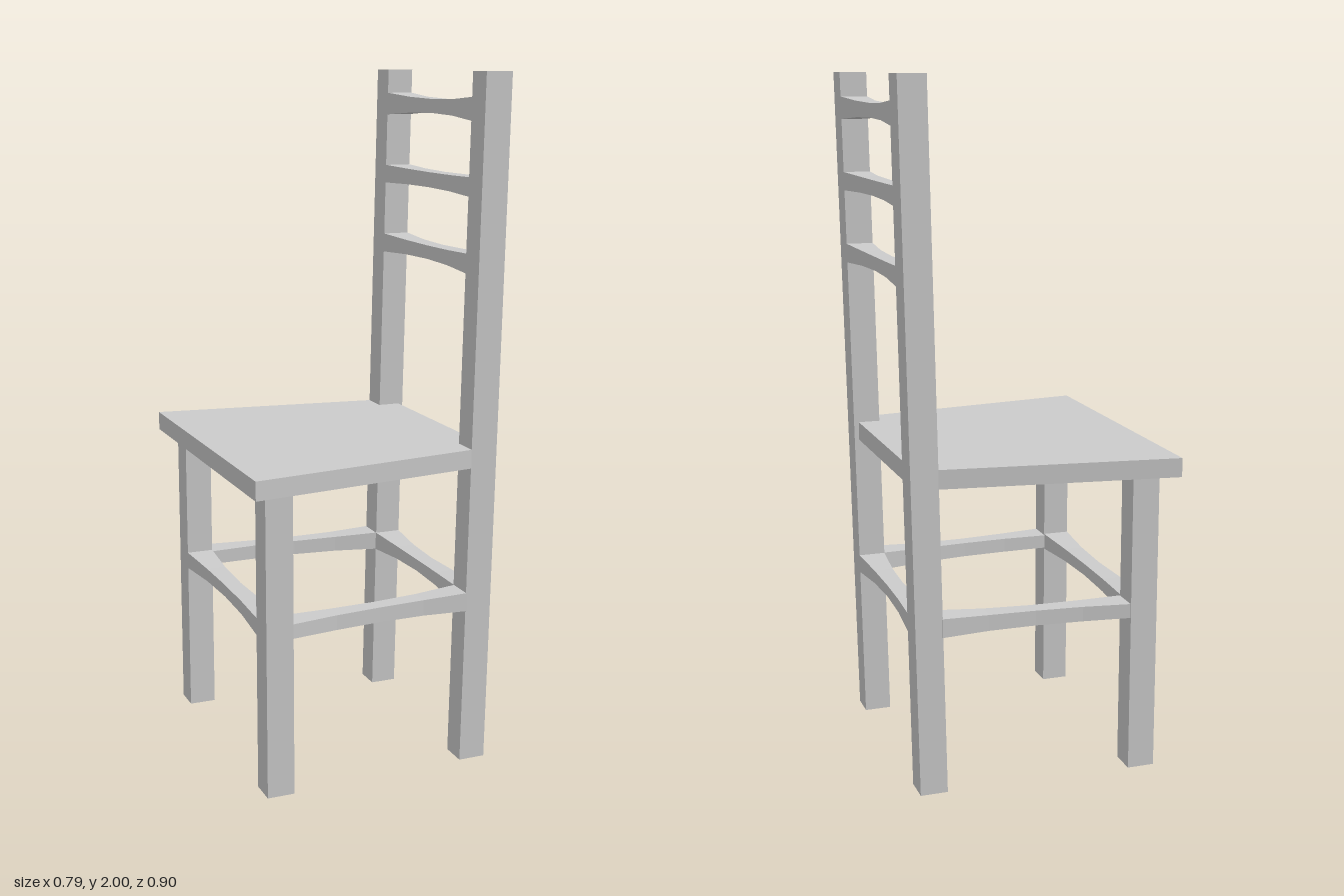
import * as THREE from 'three';

const material = new THREE.MeshStandardMaterial({ color: 0xcccccc, flatShading: true, side: THREE.DoubleSide });
const LEAN = 0.021; // backward lean of the back posts per unit of height
const postX = (y) => 0.31 + LEAN * y; // post centre line

// Move every vertex of a geometry by a rule
function deform(geometry, rule) {
  const p = geometry.attributes.position;
  const v = new THREE.Vector3();
  for (let i = 0; i < p.count; i++) {
    v.fromBufferAttribute(p, i);
    rule(v);
    p.setXYZ(i, v.x, v.y, v.z);
  }
  geometry.computeVertexNormals();
  return geometry;
}

function add(group, name, geometry) {
  const mesh = new THREE.Mesh(geometry, material);
  mesh.name = name;
  group.add(mesh);
}

// Square leg with an open foot; lean shears it along x
function leg(x, z, y0, y1, lean) {
  const g = new THREE.BoxGeometry(0.08, y1 - y0, 0.08);
  const index = Array.from(g.index.array);
  index.splice(18, 6); // remove the bottom face
  g.setIndex(index);
  return deform(g, (v) => {
    v.y += (y0 + y1) / 2;
    v.x += x + lean * v.y;
    v.z += z;
  });
}

// Bar between two points at height y, slimmer in the middle than at the ends.
// heights: [start, middle, end]
function bar(a, b, y, heights, lean = 0) {
  const alongX = Math.abs(b[0] - a[0]) > Math.abs(b[1] - a[1]);
  const g = new THREE.BoxGeometry(1, 1, 1, 1, 1, 4);
  if (alongX) g.rotateY(Math.PI / 2);
  return deform(g, (v) => {
    const t = (alongX ? v.x : v.z) + 0.5;
    const bulge = 1 - (2 * t - 1) ** 2;
    const end = t < 0.5 ? heights[0] : heights[2];
    const height = THREE.MathUtils.lerp(end, heights[1], bulge);
    const width = THREE.MathUtils.lerp(0.08, 0.05, bulge);
    const dy = v.y * height;
    const side = (alongX ? v.z : v.x) * width;
    const cx = THREE.MathUtils.lerp(a[0], b[0], t);
    const cz = THREE.MathUtils.lerp(a[1], b[1], t);
    v.set(cx + (alongX ? 0 : side) + lean * dy, y + dy, cz + (alongX ? side : 0));
  });
}

export function createModel() {
  const chair = new THREE.Group();
  chair.name = 'chair';

  // Tapered seat board, with a tongue running back between the posts
  const outline = [
    [-0.395, -0.45], [0.29, -0.36], [0.29, -0.28], [0.355, -0.28],
    [0.355, 0.28], [0.29, 0.28], [0.29, 0.36], [-0.395, 0.45],
  ].map(([x, z]) => new THREE.Vector2(x, -z));
  const seat = new THREE.ExtrudeGeometry(new THREE.Shape(outline), { depth: 0.055, bevelEnabled: false });
  seat.rotateX(-Math.PI / 2).translate(0, 0.893, 0);
  add(chair, 'seat', seat);

  for (const s of [-1, 1]) {
    const side = s > 0 ? 'Left' : 'Right';
    add(chair, 'frontLeg' + side, leg(-0.31, s * 0.358, 0.01, 0.895, 0));
    add(chair, 'backPost' + side, leg(0.31, s * 0.32, 0, 2, LEAN));
    // Side stretcher follows the taper of the seat
    add(chair, 'sideStretcher' + side,
      bar([-0.27, s * 0.355], [0.283, s * 0.322], 0.493, [0.042, 0.044, 0.055]));
  }

  // Stretchers across the front and the back
  add(chair, 'frontStretcher', bar([-0.31, -0.318], [-0.31, 0.318], 0.493, [0.05, 0.036, 0.05]));
  add(chair, 'backStretcher', bar([postX(0.493), -0.28], [postX(0.493), 0.28], 0.493, [0.055, 0.036, 0.055], LEAN));

  // Three back rails
  const rails = [[1.47, 0.056, 0.04], [1.684, 0.054, 0.044], [1.898, 0.065, 0.04]];
  rails.forEach(([y, ends, middle], i) => {
    const x = postX(y);
    add(chair, 'backRail' + (i + 1), bar([x, -0.28], [x, 0.28], y, [ends, middle, ends], LEAN));
  });

  return chair;
}
